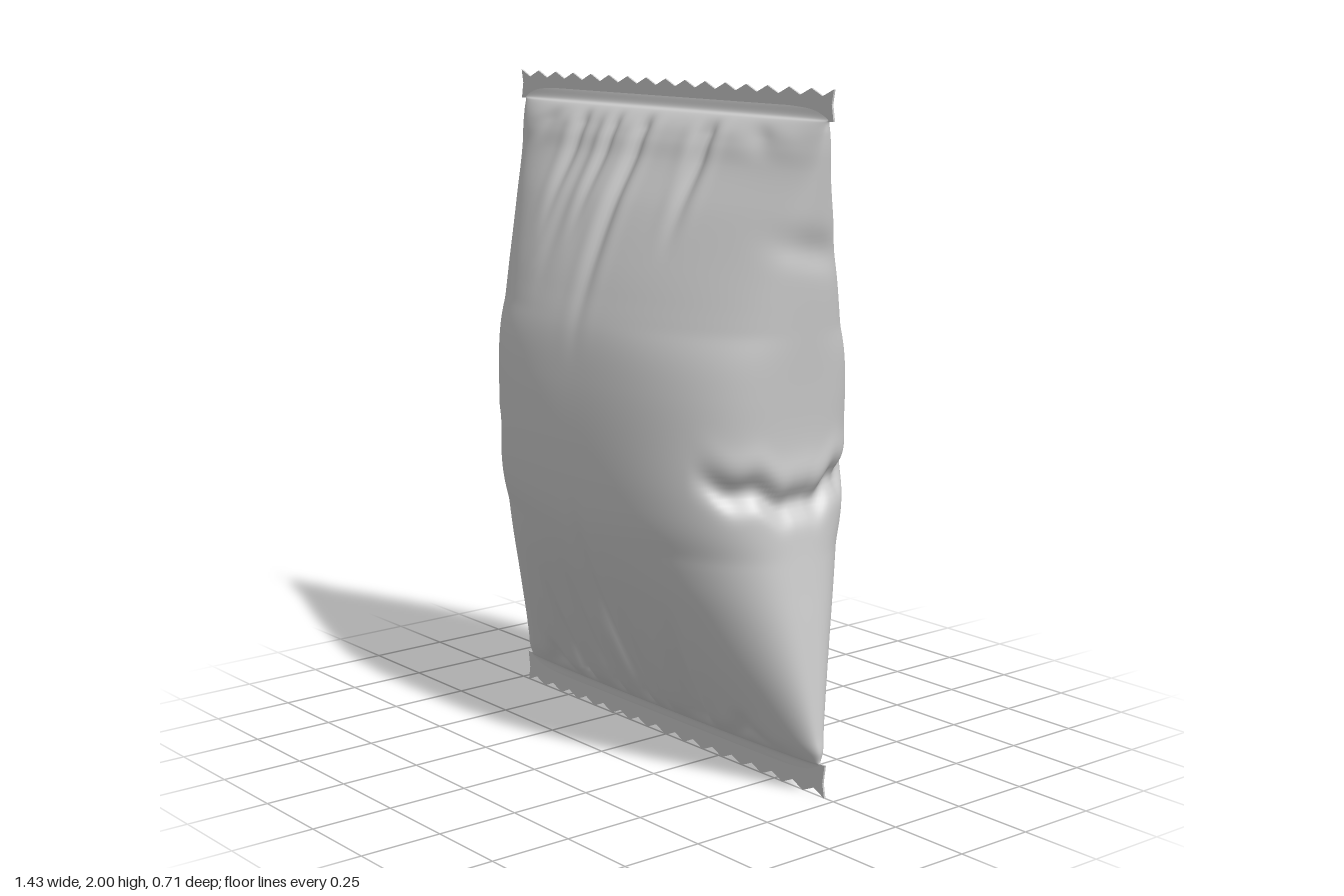
import * as THREE from 'three';

const material = new THREE.MeshStandardMaterial({ color: 0xcccccc, side: THREE.DoubleSide });

// Outline of the filled pouch: [height, half width, half depth]
const outline = [
  [0.06, 0.7, 0.004], [0.09, 0.7, 0.012], [0.1, 0.693, 0.035], [0.13, 0.697, 0.065],
  [0.175, 0.69, 0.098], [0.324, 0.67, 0.18], [0.504, 0.645, 0.26], [0.61, 0.63, 0.3],
  [0.727, 0.615, 0.333], [0.85, 0.604, 0.349], [1.0, 0.598, 0.355], [1.15, 0.608, 0.35],
  [1.29, 0.622, 0.332], [1.4, 0.633, 0.299], [1.5, 0.643, 0.262], [1.65, 0.662, 0.195],
  [1.777, 0.68, 0.122], [1.835, 0.688, 0.095], [1.88, 0.692, 0.066], [1.91, 0.693, 0.035],
  [1.92, 0.7, 0.012], [1.95, 0.7, 0.004],
];

// Gathers running in from each seal: [x, length, depth, half width, slant]
const topFolds = [
  [-0.31, 0.42, 0.018, 0.026, 0], [-0.24, 0.6, 0.01, 0.035, 0], [-0.15, 0.42, 0.016, 0.022, 0],
  [-0.01, 0.75, 0.018, 0.026, 0], [0.24, 0.25, 0.01, 0.022, 0], [0.28, 0.42, 0.018, 0.024, 0],
  [0.46, 0.14, 0.01, 0.045, 0.5], [-0.46, 0.14, 0.01, 0.045, -0.5],
];
const bottomFolds = [
  [-0.31, 0.42, 0.026, 0.026, 0], [-0.15, 0.5, 0.022, 0.023, 0], [-0.07, 0.28, 0.012, 0.02, 0],
  [-0.01, 0.75, 0.026, 0.025, 0], [0.08, 0.4, 0.014, 0.02, 0], [0.21, 0.36, 0.016, 0.024, 0.1],
  [0.26, 0.44, 0.022, 0.025, 0.08], [0.4, 0.14, 0.014, 0.03, 0.5], [-0.4, 0.14, 0.014, 0.03, -0.5],
  [0.5, 0.13, 0.014, 0.035, -0.4], [-0.5, 0.13, 0.014, 0.035, 0.4],
];

const bell = (v, width) => Math.exp(-((v / width) ** 2));
const { smoothstep } = THREE.MathUtils;

function foldDepth(folds, x, distance) {
  let sum = 0;
  for (const [x0, length, depth, width, slant] of folds) {
    const fade = smoothstep(distance, 0, 0.06) * (1 - smoothstep(distance, length * 0.2, length));
    const off = x - x0 - slant * distance;
    // a crease with a softer raised lip beside it
    sum += depth * fade * (bell(off, width) - 0.2 * bell(Math.abs(off) - 2.2 * width, width));
  }
  return sum;
}

function surfacePoint(u, side, w, y, d) {
  // rounded section, a little squarer where the pouch is fullest
  let x = w * Math.sin(u);
  const n = 2.45 + 0.35 * smoothstep(d, 0.32, 0.355);
  let z = d * Math.pow(Math.max(0, 1 - Math.abs(x / w) ** n), 1 / n);

  // gathers; the back is the front turned half round
  const fold = foldDepth(topFolds, side * x, 1.915 - y) + foldDepth(bottomFolds, side * x, y - 0.095);
  z -= Math.min(fold, z * 0.4);

  // pinched crease across both side edges, rising towards the faces
  const crease = 0.83 + 0.3 * z + 0.012 * Math.cos(z * 45);
  const reach = smoothstep(Math.abs(x), 0.44, 0.56);
  const pinch = reach * (0.036 * bell(y - crease, 0.042) - 0.004 * bell(y - crease - 0.09, 0.04));
  x -= Math.sign(x) * pinch;
  z *= 1 - pinch * 1.4;

  // shallow dent high on one edge
  if (x > 0) x -= 0.014 * smoothstep(x, 0.5, 0.62) * bell(y - 1.56 - 0.2 * z * side, 0.05) * bell(z, 0.13);
  return [x, y, side * z];
}

// Pouch skin: closed loops of points stacked up the outline
function makePouch() {
  const curve = new THREE.CatmullRomCurve3(outline.map(([y, w, d]) => new THREE.Vector3(w, y, d)));
  const S = 150, rows = 189, N = 2 * S;
  const positions = [], index = [];
  for (let j = 0; j <= rows; j++) {
    const p = curve.getPoint(j / rows);
    for (let i = 0; i < N; i++) {
      const front = i <= S;
      const u = (front ? i / S - 0.5 : 0.5 - (i - S) / S) * Math.PI;
      positions.push(...surfacePoint(u, front ? 1 : -1, p.x, p.y, p.z));
      if (j === rows) continue;
      const a = j * N + i, b = j * N + ((i + 1) % N);
      index.push(a, b, b + N, a, b + N, a + N);
    }
  }
  const geometry = new THREE.BufferGeometry();
  geometry.setAttribute('position', new THREE.Float32BufferAttribute(positions, 3));
  geometry.setIndex(index);
  geometry.computeVertexNormals();
  return geometry;
}

// Flat crimped strip with a zigzag outer edge; inner edge at y = 0
function makeSeal(height) {
  const teeth = 16, half = 0.715, tooth = 0.02, thick = 0.006;
  const shape = new THREE.Shape();
  shape.moveTo(-half, 0);
  shape.lineTo(half, 0);
  shape.lineTo(half - 0.008, height * 0.55);
  for (let i = 0; i <= teeth * 2; i++) {
    shape.lineTo(half - (i * half) / teeth, height - (i % 2 ? tooth : 0));
  }
  shape.lineTo(-half + 0.008, height * 0.55);
  shape.closePath();
  return new THREE.ExtrudeGeometry(shape, { depth: thick, bevelEnabled: false }).translate(0, 0, -thick / 2);
}

export function createModel() {
  const group = new THREE.Group();
  group.name = 'pillowPouch';
  const add = (name, geometry) => {
    const mesh = new THREE.Mesh(geometry, material);
    mesh.name = name;
    group.add(mesh);
    return mesh;
  };
  add('filledPouch', makePouch());
  add('topSeal', makeSeal(0.087)).position.y = 1.913;
  const bottom = add('bottomSeal', makeSeal(0.097));
  bottom.position.y = 0.097;
  bottom.rotation.z = Math.PI;
  return group;
}
